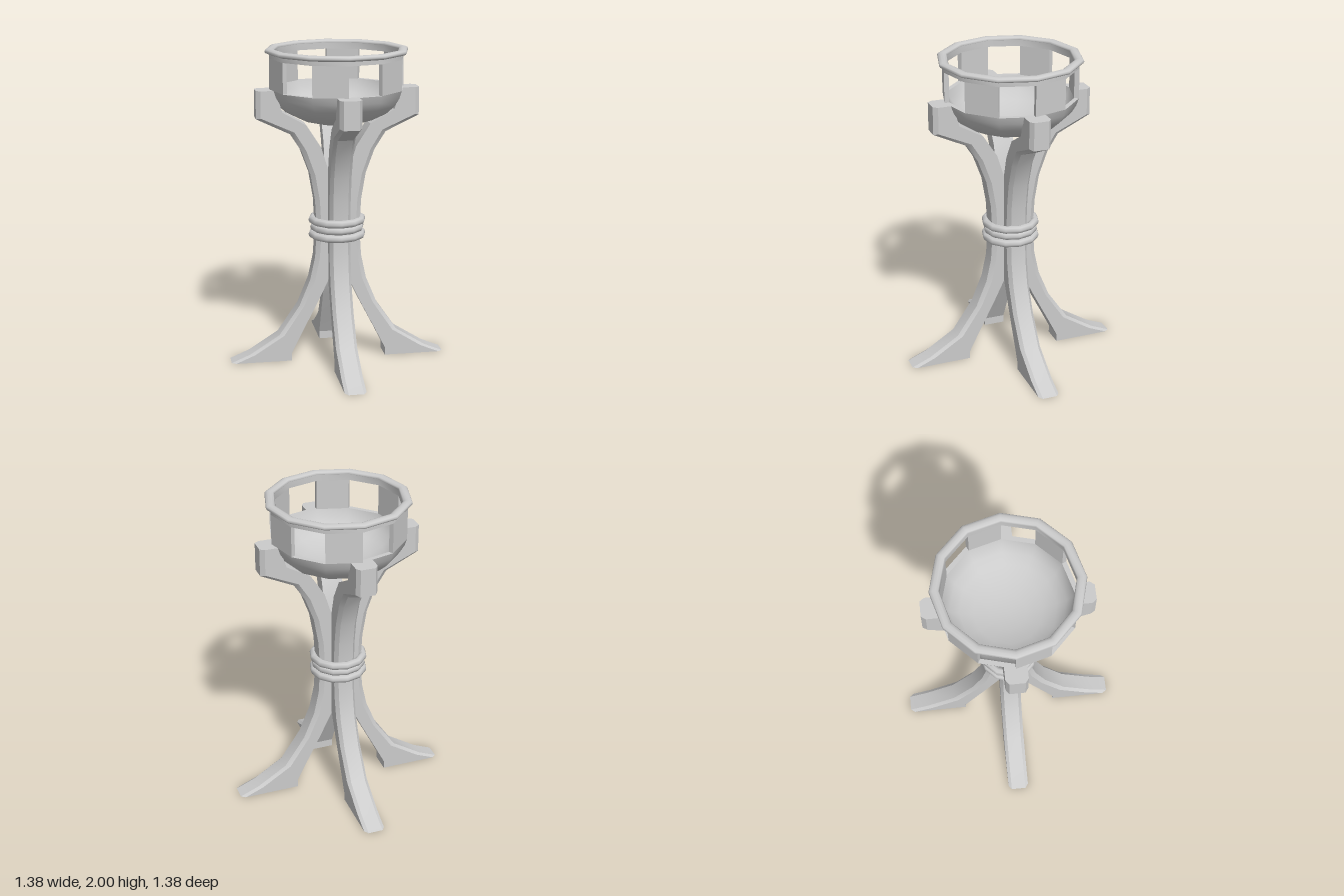
import * as THREE from 'three';
import { toCreasedNormals } from 'three/addons/utils/BufferGeometryUtils.js';

const material = new THREE.MeshStandardMaterial({ color: 0xcccccc });
const SIDES = 12, OUTER = 0.42, INNER = 0.39;
const WINDOW_BOTTOM = 1.75, WINDOW_TOP = 1.94;

function addMesh(parent, name, geometry) {
  const mesh = new THREE.Mesh(geometry, material);
  mesh.name = name;
  parent.add(mesh);
  return mesh;
}

// Solid of revolution with twelve sides; the profile runs up the outside, down the inside
function lathe(profile) {
  const points = profile.map(([r, y]) => new THREE.Vector2(r, y));
  return toCreasedNormals(new THREE.LatheGeometry(points, SIDES), 0.7);
}

// Wall panel filling one side of the bowl between two windows
function panelGeometry(phi) {
  const end = phi + (2 * Math.PI) / SIDES;
  const at = (r, a) => new THREE.Vector2(r * Math.sin(a), -r * Math.cos(a));
  const shape = new THREE.Shape([at(OUTER, phi), at(OUTER, end), at(INNER, end), at(INNER, phi)]);
  const depth = WINDOW_TOP - WINDOW_BOTTOM;
  return new THREE.ExtrudeGeometry(shape, { depth, bevelEnabled: false })
    .rotateX(-Math.PI / 2)
    .translate(0, WINDOW_BOTTOM, 0);
}

// Leg stations from the sole up: inner radius, height, outer radius, height
const LEG = [
  [0.305, 0, 0.69, 0],
  [0.305, 0.05, 0.57, 0.05],
  [0.245, 0.17, 0.38, 0.17],
  [0.14, 0.375, 0.25, 0.36],
  [0.07, 0.52, 0.18, 0.53],
  [0.035, 0.68, 0.148, 0.68],
  [0.02, 0.86, 0.137, 0.86],
  [0.03, 1.05, 0.147, 1.05],
  [0.055, 1.21, 0.175, 1.215],
  [0.11, 1.39, 0.23, 1.365],
  [0.2, 1.53, 0.3, 1.475],
  [0.35, 1.615, 0.51, 1.575],
  [0.39, 1.75, 0.51, 1.75],
];

// Six-sided cross-sections with chamfered outer edges, joined into a closed solid
function legGeometry() {
  const halfWidth = 0.067, chamfer = 0.02, chamferDepth = 0.028, n = 6;
  const positions = [], index = [];
  for (const [ix, iy, ox, oy] of LEG) {
    const inner = new THREE.Vector2(ix, iy), outer = new THREE.Vector2(ox, oy);
    const shoulder = outer.clone().sub(inner).setLength(-chamferDepth).add(outer);
    const loop = [
      [inner, -halfWidth], [inner, halfWidth],
      [shoulder, halfWidth], [outer, halfWidth - chamfer],
      [outer, chamfer - halfWidth], [shoulder, -halfWidth],
    ];
    for (const [p, z] of loop) positions.push(p.x, p.y, z);
  }
  for (let i = 0; i < LEG.length - 1; i++) {
    for (let j = 0; j < n; j++) {
      const a = i * n + j, b = i * n + ((j + 1) % n);
      index.push(a, b, b + n, a, b + n, a + n);
    }
  }
  // Sole and top caps
  const top = (LEG.length - 1) * n;
  for (let j = 1; j < n - 1; j++) {
    index.push(0, j + 1, j, top, top + j, top + j + 1);
  }
  const geometry = new THREE.BufferGeometry();
  geometry.setAttribute('position', new THREE.Float32BufferAttribute(positions, 3));
  geometry.setIndex(index);
  return toCreasedNormals(geometry, 0.45);
}

export function createModel() {
  const model = new THREE.Group();
  model.name = 'brazier';

  // Bowl: rounded base, windowed wall, upper band and rim
  const bowl = new THREE.Group();
  bowl.name = 'bowl';
  model.add(bowl);
  addMesh(bowl, 'bowlBase', lathe([
    [0, 1.525], [0.12, 1.532], [0.23, 1.56], [0.32, 1.605], [0.375, 1.655], [0.405, 1.705],
    [OUTER, WINDOW_BOTTOM], [INNER, WINDOW_BOTTOM],
    [0.375, 1.71], [0.345, 1.665], [0.29, 1.62], [0.21, 1.585], [0.11, 1.562], [0, 1.555],
  ]));
  for (let k = 0; k < SIDES / 2; k++) {
    addMesh(bowl, `wallPanel${k + 1}`, panelGeometry(((2 * k + 1) * 2 * Math.PI) / SIDES));
  }
  addMesh(bowl, 'upperBand', lathe([
    [INNER, WINDOW_TOP], [OUTER, WINDOW_TOP], [OUTER, 1.983], [INNER, 1.983], [INNER, WINDOW_TOP],
  ]));
  const rim = new THREE.TorusGeometry(0.418, 0.03, 10, SIDES).rotateX(Math.PI / 2);
  addMesh(bowl, 'rim', rim.scale(1, 0.57, 1).translate(0, 1.983, 0));

  // Four curved legs
  const leg = legGeometry();
  for (let k = 0; k < 4; k++) {
    addMesh(model, `leg${k + 1}`, leg).rotation.y = (k * Math.PI) / 2;
  }

  // Three rings binding the legs
  [[0.82, 0.158], [0.867, 0.147], [0.914, 0.158]].forEach(([y, radius], k) => {
    const ring = new THREE.TorusGeometry(radius, 0.025, 8, SIDES).rotateX(Math.PI / 2);
    addMesh(model, `bindingRing${k + 1}`, ring.translate(0, y, 0));
  });

  return model;
}
